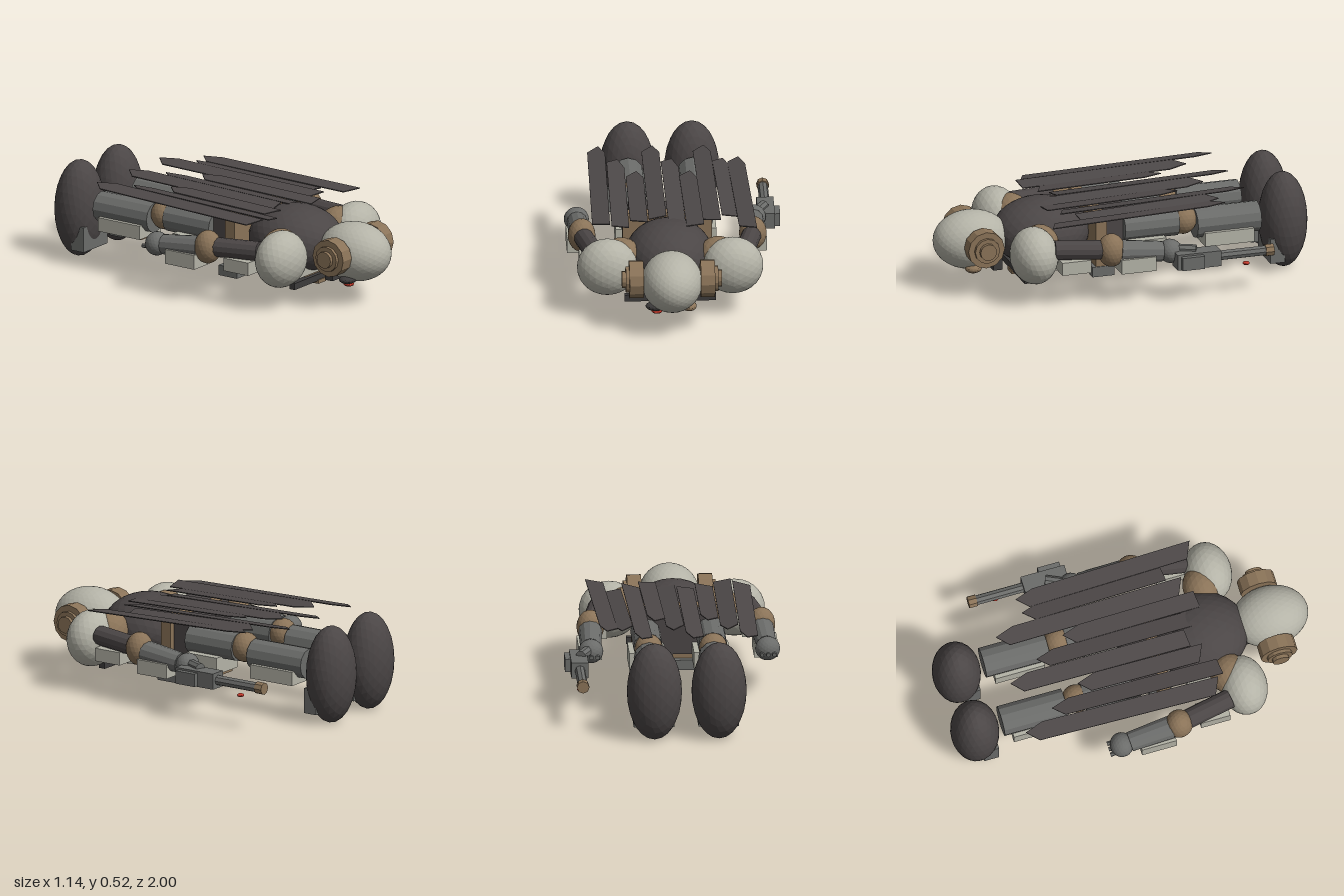
import * as THREE from 'three';

const mat = (name, color, extra = {}) => {
  const m = new THREE.MeshStandardMaterial({ color, flatShading: true, ...extra });
  m.name = name;
  return m;
};
const M = {
  light: mat('pale armour', 0xb4b3a7),
  brown: mat('bronze', 0x8a7358),
  dark: mat('charcoal', 0x4b4646),
  cape: mat('cape charcoal', 0x4d4848, { side: THREE.DoubleSide }),
  grey: mat('steel', 0x6b6c6a),
  black: mat('dark trim', 0x3d3b3b),
  red: mat('red lens', 0xc0392b),
};

export function createModel() {
  const model = new THREE.Group();
  model.name = 'proneRobot';
  const body = new THREE.Group();
  body.name = 'body';
  body.position.x = -0.04;
  model.add(body);

  const add = (name, geo, material, x, y, z) => {
    const m = new THREE.Mesh(geo, material);
    m.name = name;
    m.position.set(x, y, z);
    body.add(m);
    return m;
  };
  // Faceted ellipsoid
  const ball = (name, material, [x, y, z], [rx, ry, rz], detail = 4) =>
    add(name, new THREE.IcosahedronGeometry(1, detail).scale(rx, ry, rz), material, x, y, z);
  // Box from its min and max corners
  const box = (name, material, [x0, x1], [y0, y1], [z0, z1]) =>
    add(name, new THREE.BoxGeometry(Math.abs(x1 - x0), y1 - y0, z1 - z0), material,
      (x0 + x1) / 2, (y0 + y1) / 2, (z0 + z1) / 2);
  // Cylinder between two points
  const rod = (name, material, a, b, ra, rb = ra, sides = 12) => {
    const p = new THREE.Vector3(...a), q = new THREE.Vector3(...b);
    const dir = q.clone().sub(p);
    const mid = p.clone().add(q).multiplyScalar(0.5);
    const m = add(name, new THREE.CylinderGeometry(rb, ra, dir.length(), sides), material, mid.x, mid.y, mid.z);
    m.quaternion.setFromUnitVectors(new THREE.Vector3(0, 1, 0), dir.normalize());
    return m;
  };

  // Head, face and mouth
  ball('head', M.light, [0, 0.28, 0.795], [0.16, 0.157, 0.205], 6);
  ball('rightEyeSocket', M.black, [-0.085, 0.15, 0.81], [0.055, 0.023, 0.045], 2);
  ball('rightEyeLens', M.red, [-0.08, 0.122, 0.81], [0.028, 0.012, 0.028], 2);
  ball('leftEye', M.brown, [0.09, 0.148, 0.81], [0.04, 0.025, 0.045], 2);
  box('mouth', M.black, [-0.06, 0.06], [0.11, 0.17], [0.64, 0.69]);

  // Torso, chest and waist
  ball('torso', M.dark, [0, 0.287, 0.41], [0.23, 0.18, 0.26], 5);
  box('chestPlate', M.light, [-0.21, 0.21], [0.13, 0.23], [0.28, 0.56]);
  box('chestPanel', M.brown, [-0.11, 0.11], [0.108, 0.13], [0.33, 0.55]);
  box('chestInset', M.grey, [-0.075, 0.075], [0.1, 0.108], [0.37, 0.51]);
  box('collarBar', M.black, [-0.24, 0.24], [0.085, 0.12], [0.54, 0.575]);
  box('collarClasp', M.brown, [-0.035, 0.035], [0.07, 0.09], [0.53, 0.58]);
  box('waistBand', M.brown, [-0.235, 0.235], [0.13, 0.425], [0.12, 0.18]);
  box('belt', M.grey, [-0.24, 0.24], [0.08, 0.135], [0.08, 0.2]);
  box('pelvis', M.dark, [-0.2, 0.2], [0.2, 0.415], [-0.02, 0.12]);

  for (const s of [-1, 1]) {
    const side = s < 0 ? 'right' : 'left';

    // Ear caps
    rod(side + 'EarDrum', M.brown, [s * 0.15, 0.29, 0.78], [s * 0.225, 0.29, 0.78], 0.1);
    rod(side + 'EarRim', M.brown, [s * 0.225, 0.29, 0.78], [s * 0.243, 0.29, 0.78], 0.068);
    rod(side + 'EarHub', M.brown, [s * 0.243, 0.29, 0.78], [s * 0.263, 0.29, 0.78], 0.045);

    // Shoulder and arm
    ball(side + 'ShoulderPad', M.light, [s * 0.33, 0.274, 0.553], [0.16, 0.152, 0.125]);
    ball(side + 'ShoulderJoint', M.brown, [s * 0.255, 0.3, 0.495], [0.11, 0.11, 0.1], 3);
    rod(side + 'UpperArm', M.dark, [s * 0.395, 0.315, 0.46], [s * 0.447, 0.305, 0.18], 0.052);
    box(side + 'UpperArmPlate', M.light, [s * 0.355, s * 0.47], [0.195, 0.265], [0.28, 0.44]);
    ball(side + 'Elbow', M.brown, [s * 0.45, 0.302, 0.165], [0.073, 0.09, 0.073], 3);
    rod(side + 'Forearm', M.grey, [s * 0.452, 0.29, 0.12], [s * 0.463, 0.27, -0.11], 0.063, 0.054);
    box(side + 'ForearmPlate', M.light, [s * 0.4, s * 0.525], [0.187, 0.265], [-0.06, 0.13]);
    ball(side + 'Hand', M.grey, [s * 0.465, 0.267, -0.155], [0.066, 0.064, 0.062], 3);
    for (let i = -1; i <= 1; i++)
      rod(side + 'Finger', M.grey, [s * 0.465 + i * 0.03, 0.255, -0.18], [s * 0.465 + i * 0.032, 0.25, -0.225], 0.012, 0.012, 6);

    // Leg
    const x = s * 0.17;
    rod(side + 'Thigh', M.grey, [x, 0.32, 0.02], [x, 0.32, -0.28], 0.078);
    box(side + 'ThighPlate', M.light, [x - 0.095, x + 0.095], [0.175, 0.265], [-0.2, 0]);
    box(side + 'ThighTrim', M.brown, [x - 0.055, x + 0.055], [0.162, 0.175], [-0.195, -0.03]);
    ball(side + 'Knee', M.brown, [x, 0.325, -0.318], [0.075, 0.08, 0.075], 3);
    rod(side + 'Shin', M.grey, [x, 0.298, -0.38], [x, 0.298, -0.73], 0.082);
    box(side + 'ShinPlate', M.light, [x - 0.095, x + 0.095], [0.19, 0.265], [-0.685, -0.415]);
    box(side + 'ShinTrim', M.brown, [x - 0.055, x + 0.055], [0.177, 0.19], [-0.64, -0.43]);
    ball(side + 'Foot', M.dark, [x, 0.265, -0.872], [0.145, 0.262, 0.128]);
    box(side + 'ToePlate', M.grey, [x - 0.107, x + 0.107], [0.06, 0.195], [-0.85, -0.77]);
  }

  // Blaster at the left hand
  box('blasterBody', M.grey, [0.49, 0.58], [0.195, 0.28], [-0.4, -0.16]);
  box('blasterSidePod', M.grey, [0.58, 0.608], [0.2, 0.27], [-0.3, -0.18]);
  rod('blasterGrip', M.grey, [0.475, 0.28, -0.17], [0.525, 0.28, -0.28], 0.028, 0.028, 8);
  rod('blasterBarrel', M.grey, [0.535, 0.238, -0.4], [0.535, 0.238, -0.66], 0.027, 0.027, 8);
  rod('blasterMuzzle', M.brown, [0.535, 0.238, -0.655], [0.535, 0.238, -0.7], 0.033, 0.033, 8);
  ball('blasterLight', M.red, [0.54, 0.181, -0.55], [0.019, 0.01, 0.019], 2);

  // Ragged cape strips: centre x, tip z, collar end z
  const strips = [
    [-0.345, -0.64, 0.43], [-0.25, -0.47, 0.5], [-0.155, -0.3, 0.4],
    [-0.06, -0.64, 0.38], [0.035, -0.47, 0.42], [0.125, -0.3, 0.49],
    [0.21, -0.64, 0.4], [0.305, -0.47, 0.36], [0.385, -0.48, 0.5],
  ];
  strips.forEach(([x, tip, end], i) => {
    const lean = i * 0.005 - 0.012;
    const w = 0.046;
    const shape = new THREE.Shape([
      [lean - w, -end + 0.05], [lean + w, -end + 0.01 + 0.05 * (i % 2)], [w, -tip - 0.1],
      [0.012, -tip], [-w, -tip - 0.06],
    ].map(([px, py]) => new THREE.Vector2(px, py)));
    const geo = new THREE.ExtrudeGeometry(shape, { depth: 0.005, bevelEnabled: false });
    geo.rotateX(-Math.PI / 2);
    // Tilt each strip across its width and lift it gently toward the tip
    const p = geo.attributes.position;
    const tilt = [0.16, -0.16, 0.08][i % 3];
    for (let k = 0; k < p.count; k++)
      p.setY(k, p.getY(k) + 0.462 - 0.024 * p.getZ(k) + tilt * p.getX(k));
    geo.computeVertexNormals();
    add('capeStrip', geo, M.cape, x, 0, 0);
  });

  return model;
}
